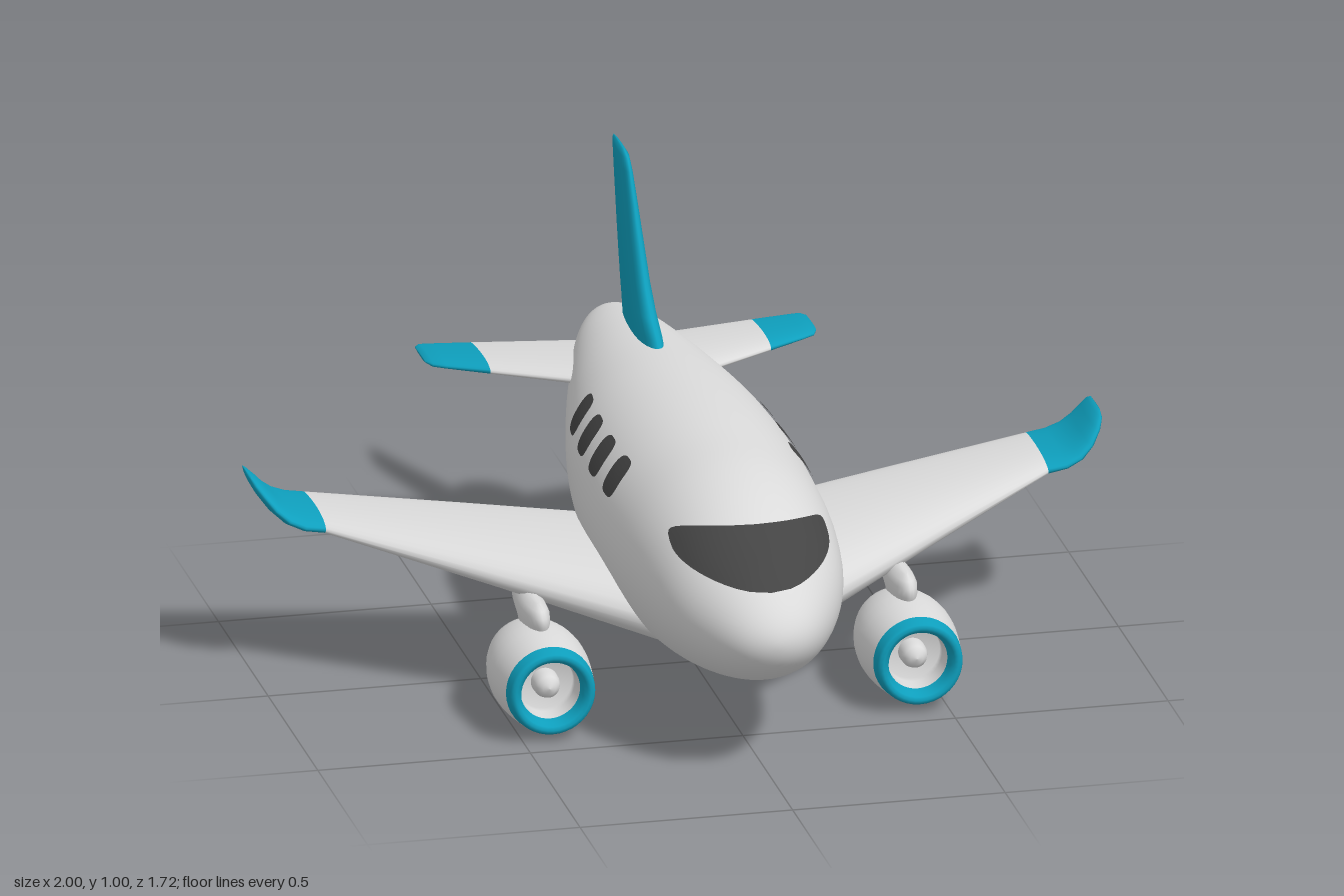
import * as THREE from 'three';
import { mergeVertices } from 'three/addons/utils/BufferGeometryUtils.js';

const paint = (name, color) => Object.assign(new THREE.MeshStandardMaterial({ color }), { name });

// Skin over rows of points; each row is a closed ring
function skin(rows, cap = false) {
  const n = rows[0].length, pos = [], index = [];
  rows.forEach(row => row.forEach(p => pos.push(p.x, p.y, p.z)));
  for (let i = 0; i < rows.length - 1; i++) {
    for (let j = 0; j < n; j++) {
      const a = i * n + j, b = i * n + (j + 1) % n;
      index.push(a, a + n, b, b, a + n, b + n);
    }
  }
  if (cap) {
    const base = (rows.length - 1) * n;
    for (let j = 1; j < n - 1; j++) index.push(base, base + j + 1, base + j);
  }
  let geo = new THREE.BufferGeometry();
  geo.setAttribute('position', new THREE.Float32BufferAttribute(pos, 3));
  geo.setIndex(index);
  geo = mergeVertices(geo, 1e-5);
  geo.computeVertexNormals();
  return geo;
}

// Airfoil loft; section = [x, yLead, zLead, yTrail, zTrail, thickness, tilt]
function foil(sections, cap) {
  return skin(sections.map(([x, yl, zl, yt, zt, t, tilt]) => {
    const ring = [];
    for (let j = 0; j < 28; j++) {
      const a = j / 28 * Math.PI * 2, c = Math.cos(a);
      const f = (1 + c) / 2, d = t / 2 * Math.sin(a) * (0.95 + 0.35 * c);
      ring.push(new THREE.Vector3(x - Math.sin(tilt) * d, yt + (yl - yt) * f + Math.cos(tilt) * d, zt + (zl - zt) * f));
    }
    return ring;
  }), cap);
}

// Upright foil on a fixed x; rows = [y, zLead, zTrail, thickness]
const upright = (x, rows) => foil(rows.map(([y, zl, zt, t]) => [x, y, zl, y, zt, t, Math.PI / 2]), true);

// Fuselage stations, evenly spaced in angle from nose to tail: [top, bottom, half width]
const LEN = 0.86;
const stations = new THREE.CatmullRomCurve3([
  [0.35, 0.35, 0], [0.415, 0.285, 0.08], [0.485, 0.228, 0.147], [0.578, 0.183, 0.21],
  [0.63, 0.145, 0.243], [0.645, 0.122, 0.259], [0.65, 0.125, 0.262], [0.645, 0.17, 0.243],
  [0.632, 0.245, 0.2], [0.617, 0.335, 0.15], [0.598, 0.423, 0.103], [0.575, 0.478, 0.055],
  [0.525, 0.525, 0],
].map(p => new THREE.Vector3(...p)), false, 'catmullrom');

function station(s) {
  const p = stations.getPoint(s / Math.PI);
  return { cy: (p.x + p.y) / 2, h: (p.x - p.y) / 2, w: p.z, z: LEN * Math.cos(s) };
}

function fuselage() {
  const rows = [];
  for (let i = 0; i <= 72; i++) {
    const { cy, h, w, z } = station(i / 72 * Math.PI), ring = [];
    for (let j = 0; j < 64; j++) {
      const a = j / 64 * Math.PI * 2;
      ring.push(new THREE.Vector3(w * Math.cos(a), cy + h * Math.sin(a), z));
    }
    rows.push(ring);
  }
  return skin(rows);
}

// Rounded-rectangle patch; place(u, v) puts it on the fuselage
function patch(power, rings, place) {
  const rows = [], round = c => Math.sign(c) * Math.abs(c) ** (2 / power);
  for (let i = 0; i <= rings; i++) {
    const ring = [];
    for (let j = 0; j < 48; j++) {
      const a = j / 48 * Math.PI * 2, r = i / rings;
      ring.push(place(r * round(Math.cos(a)), r * round(Math.sin(a))));
    }
    rows.push(ring);
  }
  return skin(rows);
}

const LIFT = 0.004;

function windowPatch(zc) {
  return patch(3.5, 4, (u, v) => {
    const z = zc - 0.042 * u, y = 0.53 + 0.042 * v;
    const { cy, h, w } = station(Math.acos(z / LEN));
    const k = (y - cy) / (h + LIFT);
    return new THREE.Vector3((w + LIFT) * Math.sqrt(1 - k * k), y, z);
  });
}

function windshieldPatch() {
  return patch(3, 12, (u, v) => {
    const x = 0.185 * u, y = 0.512 + 0.056 * v + (v < 0 ? 0.02 : -0.014) * u * u * Math.abs(v);
    let lo = 0, hi = Math.PI / 2;
    for (let i = 0; i < 30; i++) {
      const s = (lo + hi) / 2, { cy, h, w } = station(s);
      if ((x / (w + LIFT)) ** 2 + ((y - cy) / (h + LIFT)) ** 2 > 1) lo = s; else hi = s;
    }
    return new THREE.Vector3(x, y, LEN * Math.cos(lo) + 0.002);
  });
}

// Lathe along z; points are [radius, z]
const turned = pts => new THREE.LatheGeometry(pts.map(p => new THREE.Vector2(...p)), 40).rotateX(Math.PI / 2);

export function createModel() {
  const white = paint('body white', 0xdadada);
  const teal = paint('teal trim', 0x0e9fbd);
  const dark = paint('dark glass', 0x444444);
  const model = new THREE.Group();
  model.name = 'airplane';
  const add = (parent, name, geo, mat) => {
    const mesh = new THREE.Mesh(geo, mat);
    mesh.name = name;
    parent.add(mesh);
    return mesh;
  };

  add(model, 'fuselage', fuselage(), white);
  add(model, 'windshield', windshieldPatch(), dark);
  add(model, 'tailFin', upright(0, [
    [0.56, -0.27, -0.685, 0.055], [0.65, -0.36, -0.71, 0.052], [0.685, -0.42, -0.722, 0.05],
    [0.74, -0.48, -0.738, 0.046], [0.82, -0.537, -0.762, 0.04], [0.9, -0.59, -0.785, 0.032],
    [0.965, -0.635, -0.803, 0.025], [0.99, -0.66, -0.81, 0.02], [1, -0.7, -0.8, 0.008],
  ]), teal);

  // Main wing, with the curled winglet from the third section on
  const wing = [
    [0.15, 0.235, 0.415, 0.31, -0.16, 0.14, 0], [0.5, 0.305, 0.178, 0.347, -0.225, 0.085, 0.05],
    [0.85, 0.37, -0.06, 0.382, -0.29, 0.034, 0.12], [0.895, 0.377, -0.062, 0.389, -0.291, 0.034, 0.35],
    [0.93, 0.392, -0.07, 0.402, -0.291, 0.033, 0.7], [0.958, 0.415, -0.088, 0.422, -0.291, 0.03, 0.9],
    [0.98, 0.442, -0.115, 0.445, -0.29, 0.026, 0.98], [0.993, 0.459, -0.145, 0.459, -0.286, 0.018, 1],
    [0.998, 0.466, -0.18, 0.466, -0.272, 0.006, 1],
  ];
  // Tailplane, with the coloured tip from the second section on
  const tail = [
    [0.04, 0.51, -0.45, 0.508, -0.775, 0.042, 0], [0.33, 0.508, -0.627, 0.506, -0.83, 0.027, 0],
    [0.42, 0.507, -0.682, 0.505, -0.847, 0.021, 0], [0.448, 0.507, -0.7, 0.505, -0.85, 0.018, 0],
    [0.46, 0.506, -0.73, 0.505, -0.835, 0.007, 0],
  ];

  for (const side of ['left', 'right']) {
    const half = new THREE.Group();
    half.name = side + 'Side';
    if (side === 'right') half.scale.x = -1;
    model.add(half);

    add(half, side + 'Wing', foil(wing.slice(0, 3)), white);
    add(half, side + 'Winglet', foil(wing.slice(2), true), teal);
    add(half, side + 'Tailplane', foil(tail.slice(0, 2)), white);
    add(half, side + 'TailplaneTip', foil(tail.slice(1), true), teal);
    [0.16, 0.022, -0.115, -0.252].forEach((z, i) => add(half, side + 'Window' + (i + 1), windowPatch(z), dark));

    // Engine pod: cowling with exhaust core, coloured lip, intake and spinner
    const engine = new THREE.Group();
    engine.name = side + 'Engine';
    engine.position.set(0.432, 0.117, 0);
    half.add(engine);
    add(engine, 'exhaustCore', turned([
      [0, 0.063], [0.02, 0.066], [0.037, 0.075], [0.047, 0.09], [0.054, 0.115], [0.066, 0.15], [0.074, 0.19],
    ]), white);
    add(engine, 'cowling', turned([
      [0.06, 0.18], [0.085, 0.17], [0.093, 0.175], [0.103, 0.205], [0.112, 0.245], [0.116, 0.285],
      [0.115, 0.325], [0.11, 0.37], [0.104, 0.408],
    ]), white);
    add(engine, 'intakeLip', turned([
      [0.104, 0.408], [0.1, 0.435], [0.096, 0.443], [0.088, 0.446], [0.08, 0.442], [0.073, 0.43], [0.07, 0.41],
    ]), teal);
    add(engine, 'intake', turned([[0.07, 0.41], [0.067, 0.37], [0.066, 0.35], [0, 0.349]]), white);
    add(engine, 'spinner', turned([
      [0.032, 0.345], [0.031, 0.375], [0.026, 0.392], [0.015, 0.403], [0, 0.407],
    ]), white);

    // Fairing that hangs the engine below the wing
    add(half, side + 'Pylon', upright(0.432, [
      [0.19, 0.31, 0.14, 0.05], [0.222, 0.325, 0.09, 0.056], [0.24, 0.338, 0.045, 0.062],
      [0.26, 0.336, 0.06, 0.06], [0.275, 0.322, 0.09, 0.046], [0.284, 0.295, 0.12, 0.018],
    ]), white);
  }
  return model;
}
